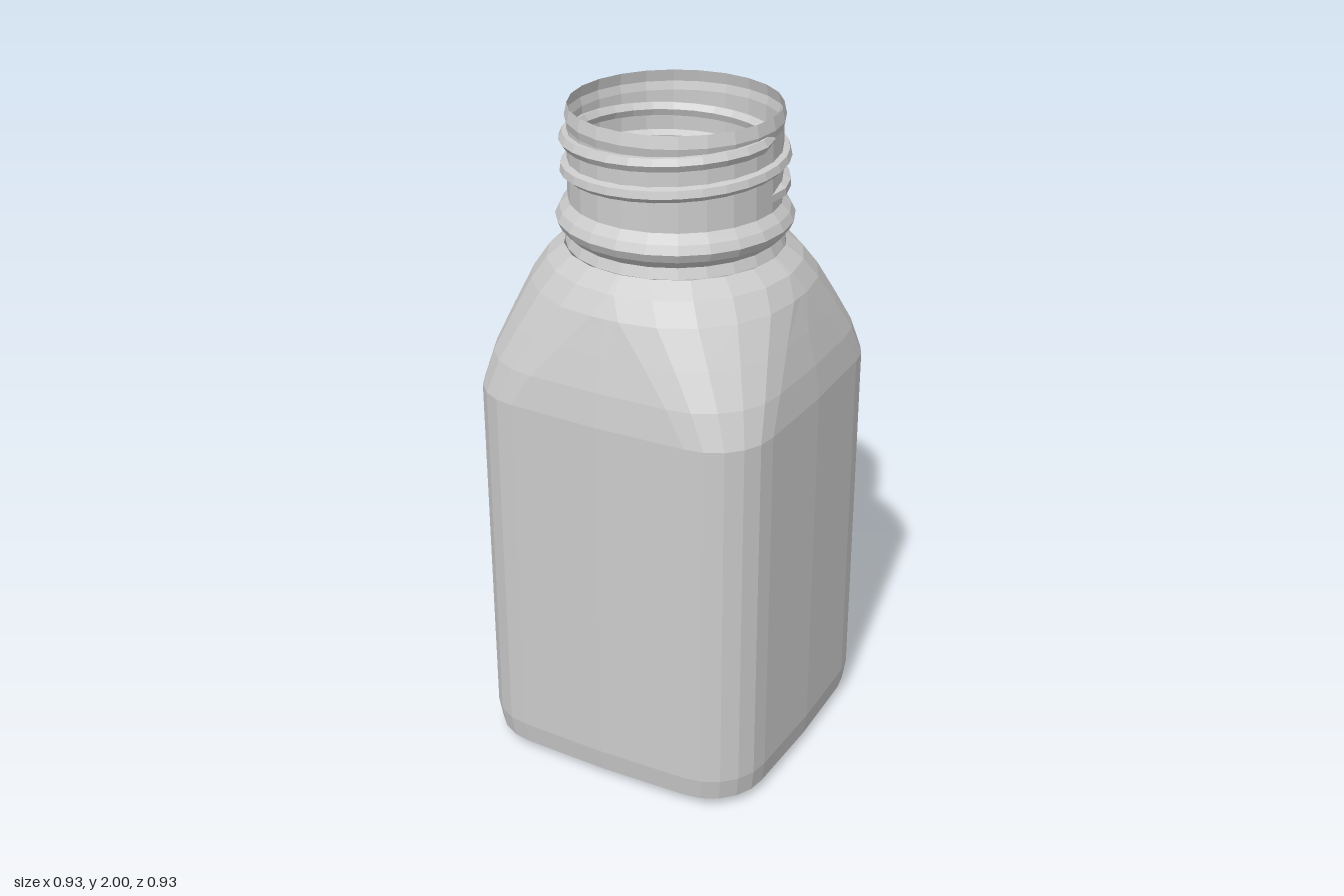
import * as THREE from 'three';

const material = new THREE.MeshStandardMaterial({ color: 0xcccccc, flatShading: true, side: THREE.DoubleSide });

// Rounded-square outline: half width h, corner radius r, slightly bowed sides
function outline(h, r, bow) {
  const points = [];
  for (let q = 0; q < 4; q++) {
    const turn = q * Math.PI / 2, c = Math.cos(turn), s = Math.sin(turn);
    const local = [[h + bow, 0]];
    for (let i = 0; i <= 5; i++) {
      const a = i / 5 * Math.PI / 2;
      local.push([h - r + r * Math.cos(a), h - r + r * Math.sin(a)]);
    }
    for (const [x, y] of local) points.push([x * c - y * s, -(x * s + y * c)]);
  }
  return points;
}

// Skin a stack of [y, half width, corner radius, bow] sections, closed at the bottom
function loft(sections, floorY) {
  const position = [0, floorY, 0], index = [];
  let n = 0;
  for (const [y, h, r, bow] of sections) {
    const ring = outline(h, r, bow);
    n = ring.length;
    for (const [x, z] of ring) position.push(x, y, z);
  }
  for (let i = 0; i < n; i++) {
    const k = (i + 1) % n;
    index.push(0, 1 + k, 1 + i);
    for (let j = 0; j < sections.length - 1; j++) {
      const a = 1 + j * n + i, b = 1 + j * n + k;
      index.push(a, b, b + n, a, b + n, a + n);
    }
  }
  const geometry = new THREE.BufferGeometry();
  geometry.setAttribute('position', new THREE.Float32BufferAttribute(position, 3));
  geometry.setIndex(index);
  geometry.computeVertexNormals();
  return geometry;
}

export function createModel() {
  const group = new THREE.Group();
  const add = (name, geometry) => {
    const mesh = new THREE.Mesh(geometry, material);
    mesh.name = name;
    group.add(mesh);
  };

  // Square body, with shoulders that turn round towards the neck
  add('body', loft([
    [0, 0.41, 0.16, 0.005],
    [0.03, 0.447, 0.175, 0.008],
    [0.1, 0.457, 0.18, 0.008],
    [1.2, 0.457, 0.18, 0.008],
    [1.3, 0.445, 0.23, 0.006],
    [1.4, 0.422, 0.29, 0.004],
    [1.5, 0.398, 0.355, 0],
    [1.56, 0.365, 0.355, 0],
    [1.6, 0.315, 0.308, 0],
  ], 0.02));

  // Open neck with a bead at its foot
  const profile = [
    [0.313, 1.6], [0.302, 1.63], [0.328, 1.655], [0.34, 1.68], [0.328, 1.705],
    [0.304, 1.73], [0.302, 1.94], [0.308, 1.965], [0.3, 2],
  ].map(([r, y]) => new THREE.Vector2(r, y));
  add('neck', new THREE.LatheGeometry(profile, 24));

  // Screw thread winding up the neck, its ends sunk into the wall
  const path = [];
  const turns = 2, steps = 48;
  for (let i = 0; i <= steps; i++) {
    const t = i / steps, a = t * turns * Math.PI * 2;
    const r = i === 0 || i === steps ? 0.285 : 0.304;
    path.push(new THREE.Vector3(r * Math.cos(a), 1.77 + 0.17 * t, -r * Math.sin(a)));
  }
  add('thread', new THREE.TubeGeometry(new THREE.CatmullRomCurve3(path), 60, 0.022, 6));

  return group;
}
